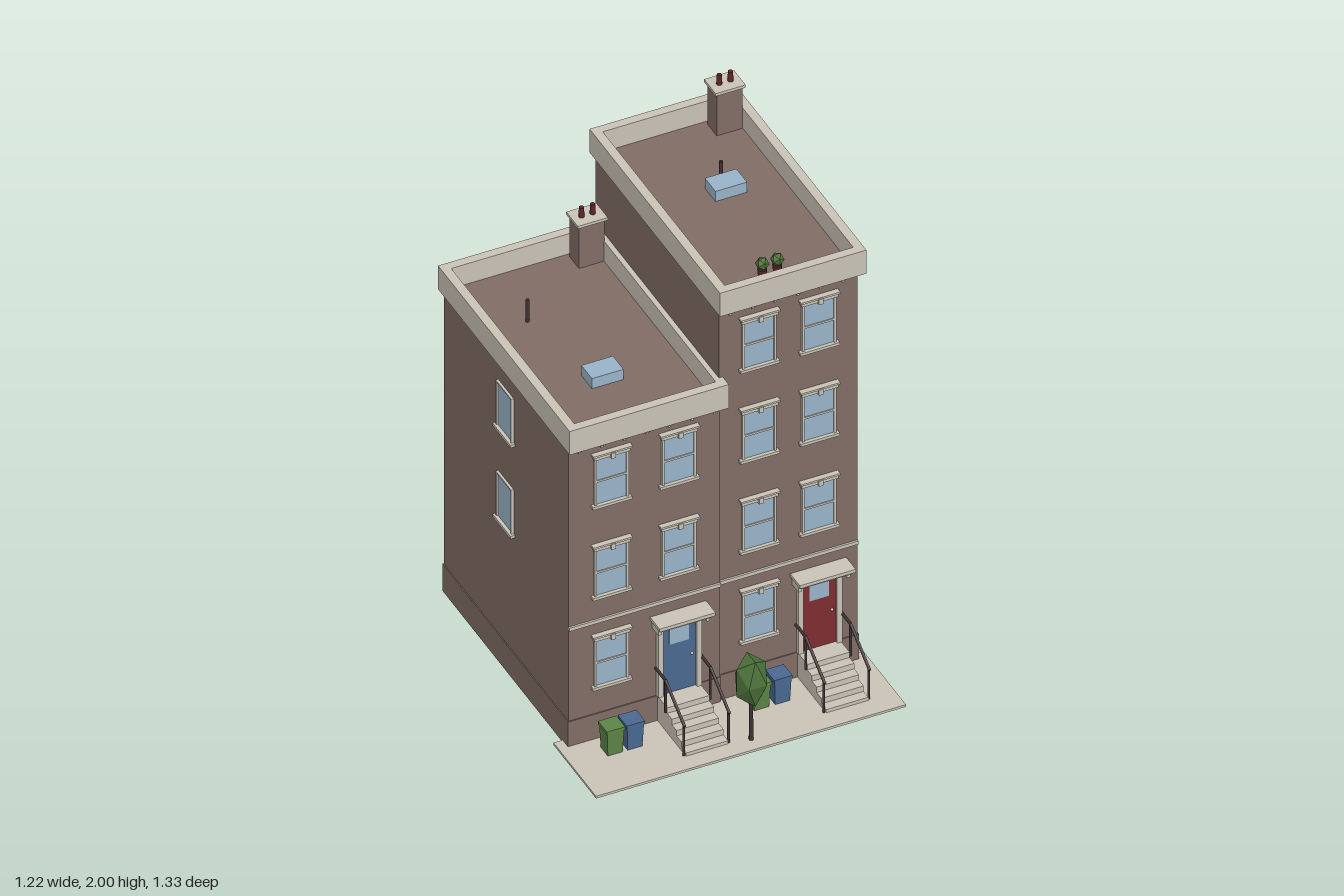
import * as THREE from 'three';

const mat = (name, color, flat) => {
  const m = new THREE.MeshStandardMaterial({ color });
  m.name = name;
  if (flat) m.flatShading = true;
  return m;
};

export function createModel() {
  const brick = mat('brick', 0x806c64);
  const stone = mat('stone', 0xc8c2b6);
  const glass = mat('glass', 0x98b2c8);
  const blue = mat('blue paint', 0x4a6890);
  const red = mat('red paint', 0x7c2c30);
  const binGreen = mat('bin green', 0x5c8446);
  const leaf = mat('leaf', 0x4a7038, true);
  const iron = mat('iron', 0x3e3232);
  const clay = mat('clay pot', 0x5c2428);

  const root = new THREE.Group();
  root.name = 'townhouses';

  const group = (parent, name, x = 0, y = 0, z = 0) => {
    const g = new THREE.Group();
    g.name = name;
    g.position.set(x, y, z);
    parent.add(g);
    return g;
  };
  const add = (parent, name, geo, m, x = 0, y = 0, z = 0) => {
    const mesh = new THREE.Mesh(geo, m);
    mesh.name = name;
    mesh.position.set(x, y, z);
    parent.add(mesh);
    return mesh;
  };
  // Box given by its minimum and maximum on each axis
  const box = (parent, name, m, x0, x1, y0, y1, z0, z1) =>
    add(parent, name, new THREE.BoxGeometry(x1 - x0, y1 - y0, z1 - z0), m, (x0 + x1) / 2, (y0 + y1) / 2, (z0 + z1) / 2);
  // Four walls around a rectangle
  const ring = (parent, name, m, x0, x1, y0, y1, z0, z1, t) => {
    box(parent, name, m, x0, x1, y0, y1, z1 - t, z1);
    box(parent, name, m, x0, x1, y0, y1, z0, z0 + t);
    box(parent, name, m, x0, x0 + t, y0, y1, z0 + t, z1 - t);
    box(parent, name, m, x1 - t, x1, y0, y1, z0 + t, z1 - t);
  };
  const rod = (parent, name, a, b, r, m) => {
    const p = new THREE.Vector3(...a), q = new THREE.Vector3(...b), d = q.clone().sub(p);
    const mesh = add(parent, name, new THREE.CylinderGeometry(r, r, d.length(), 8), m);
    mesh.position.copy(p).add(q).multiplyScalar(0.5);
    mesh.quaternion.setFromUnitVectors(new THREE.Vector3(0, 1, 0), d.normalize());
  };

  // Window standing on its sill at y = 0, facing local +z
  const addWindow = (parent, x, y, z, turn, h, fancy) => {
    const g = group(parent, 'window', x, y, z);
    g.rotation.y = turn;
    const w = fancy ? 0.067 : 0.063, f = fancy ? 0.009 : 0.006;
    box(g, 'pane', glass, -w + f, w - f, 0.012, h - f, -0.002, 0.004);
    for (const s of [-1, 1]) box(g, 'jamb', stone, s * (w - f / 2) - f / 2, s * (w - f / 2) + f / 2, 0.01, h, -0.002, 0.01);
    box(g, 'head', stone, -w + f, w - f, h - f, h, -0.002, 0.01);
    box(g, 'sill', stone, -w - 0.01, w + 0.01, 0, 0.012, -0.002, 0.018);
    if (!fancy) return;
    box(g, 'meetingRail', stone, -w + f, w - f, 0.11, 0.118, -0.002, 0.008);
    box(g, 'lintel', stone, -w - 0.004, w + 0.004, h - 0.012, h + 0.004, -0.002, 0.016);
    box(g, 'lintelCap', stone, -w - 0.01, w + 0.01, h + 0.004, h + 0.012, -0.002, 0.022);
    box(g, 'keystone', stone, -0.009, 0.009, h - 0.016, h + 0.008, 0, 0.026);
  };

  // Front door with frame, canopy, steps and railings
  const addEntrance = (parent, x, z, paint) => {
    const g = group(parent, 'entrance', x, 0, z);
    box(g, 'door', paint, -0.066, 0.066, 0.12, 0.435, -0.002, 0.006);
    box(g, 'doorPane', glass, -0.038, 0.038, 0.335, 0.405, 0.004, 0.009);
    add(g, 'doorKnob', new THREE.SphereGeometry(0.006, 8, 6), stone, 0.05, 0.27, 0.01);
    for (const s of [-1, 1]) {
      box(g, 'doorJamb', stone, s * 0.076 - 0.01, s * 0.076 + 0.01, 0.12, 0.435, -0.002, 0.018);
      box(g, 'bracket', stone, s * 0.095 - 0.007, s * 0.095 + 0.007, 0.425, 0.46, -0.002, 0.05);
    }
    box(g, 'doorHead', stone, -0.086, 0.086, 0.433, 0.452, -0.002, 0.018);
    box(g, 'canopyBase', stone, -0.1, 0.1, 0.45, 0.463, -0.002, 0.066);
    box(g, 'canopy', stone, -0.11, 0.11, 0.463, 0.477, -0.002, 0.078);
    for (let i = 0; i < 5; i++)
      box(g, 'step', stone, -0.083, 0.083, i * 0.024, (i + 1) * 0.024, -0.002, 0.235 - i * 0.038);
    for (const s of [-1, 1]) {
      const rx = s * 0.088;
      rod(g, 'railPost', [rx, 0.005, 0.227], [rx, 0.15, 0.227], 0.005, iron);
      rod(g, 'railPost', [rx, 0.1, 0.08], [rx, 0.243, 0.08], 0.005, iron);
      rod(g, 'handrail', [rx, 0.143, 0.236], [rx, 0.243, 0.08], 0.006, iron);
      rod(g, 'handrail', [rx, 0.243, 0.082], [rx, 0.243, 0], 0.006, iron);
    }
  };

  // Wheeled bin, narrower at its foot
  const addBin = (parent, x, z, m) => {
    const g = group(parent, 'bin', x, 0.01, z);
    const geo = new THREE.BoxGeometry(0.066, 0.1, 0.066);
    const p = geo.attributes.position;
    for (let i = 0; i < p.count; i++)
      if (p.getY(i) < 0) p.setXYZ(i, p.getX(i) * 0.88, p.getY(i), p.getZ(i) * 0.88);
    geo.computeVertexNormals();
    add(g, 'binBody', geo, m, 0, 0.05, 0);
    box(g, 'binLid', m, -0.036, 0.036, 0.1, 0.114, -0.036, 0.036);
  };

  const addChimney = (parent, x, base, top) => {
    const g = group(parent, 'chimney', x, 0, -0.578);
    box(g, 'stack', brick, -0.05, 0.05, base, top - 0.012, -0.038, 0.038);
    box(g, 'stackCap', stone, -0.059, 0.059, top - 0.012, top, -0.047, 0.047);
    for (const s of [-1, 1])
      add(g, 'chimneyPot', new THREE.CylinderGeometry(0.009, 0.011, 0.042, 10), clay, s * 0.022, top + 0.021, 0);
  };

  const houses = [
    { name: 'leftHouse', x0: -0.57, x1: 0.025, front: 0.36, top: 1.34, cols: [-0.405, -0.14], rows: 3, paint: blue, side: -1,
      teeth: [-0.533, 7], chimney: -0.043, skylight: [-0.293, 0.063], vent: [-0.39, -0.345], bins: [-0.442, -0.364] },
    { name: 'rightHouse', x0: 0.025, x1: 0.57, front: 0.35, top: 1.75, cols: [0.18, 0.415], rows: 4, paint: red, side: 1,
      teeth: [0.065, 6], chimney: 0.498, skylight: [0.34, -0.243], vent: [0.343, -0.29], bins: [0.138, 0.22] },
  ];
  const rowY = [0.235, 0.637, 1.043, 1.447];
  const back = -0.65;

  for (const h of houses) {
    const g = group(root, h.name);
    const { x0, x1, front, top } = h;
    // Walls, hollow plinth and string course
    box(g, 'walls', brick, x0, x1, 0.12, top + 0.01, back, front);
    ring(g, 'plinth', brick, x0 - 0.004, x1 + (h.side > 0 ? 0.004 : 0), 0, 0.12, back - 0.004, front + 0.004, 0.009);
    box(g, 'stringCourse', stone, x0, x1, 0.525, 0.54, front - 0.002, front + 0.008);

    // Roof, parapet and the small brackets below it
    box(g, 'roof', brick, x0 + 0.01, x1 - 0.01, top, top + 0.015, back + 0.005, front + 0.01);
    ring(g, 'parapet', stone, x0 - 0.015, x1 + 0.015, top, top + 0.105, back - 0.017, front + 0.04, 0.035);
    for (let i = 0; i < h.teeth[1]; i++) {
      const tx = h.teeth[0] + i * 0.0885;
      box(g, 'corniceBracket', stone, tx - 0.009, tx + 0.009, top - 0.015, top, front - 0.002, front + 0.024);
      box(g, 'corniceBracket', stone, tx - 0.005, tx + 0.005, top - 0.03, top - 0.015, front - 0.002, front + 0.014);
    }

    // Windows on front, back and outer side
    for (let r = 0; r < h.rows; r++) {
      h.cols.forEach((x, c) => {
        if (r > 0 || c === 0) addWindow(g, x, rowY[r], front, 0, 0.228, true);
        addWindow(g, x, rowY[r], back, Math.PI, 0.228, false);
      });
      if (r > 0) addWindow(g, h.side * 0.57, rowY[r], -0.147, h.side * Math.PI / 2, 0.208, false);
    }
    addEntrance(g, h.cols[1], front, h.paint);

    // Rooftop fittings
    const [sx, sz] = h.skylight;
    box(g, 'skylight', glass, sx - 0.062, sx + 0.062, top + 0.012, top + 0.06, sz - 0.043, sz + 0.043);
    rod(g, 'ventPipe', [h.vent[0], top + 0.01, h.vent[1]], [h.vent[0], top + 0.112, h.vent[1]], 0.007, iron);
    addChimney(g, h.chimney, top, top + 0.212);

    addBin(g, h.bins[0], front + 0.085, binGreen);
    addBin(g, h.bins[1], front + 0.085, blue);
  }

  // Potted shrubs on the taller roof
  for (const x of [0.233, 0.292]) {
    const g = group(root, 'pottedShrub', x, 1.765, 0.272);
    add(g, 'pot', new THREE.CylinderGeometry(0.018, 0.014, 0.045, 10), clay, 0, 0.022, 0);
    add(g, 'shrub', new THREE.IcosahedronGeometry(0.026, 0), leaf, 0, 0.066, 0);
  }

  // Pavement and street tree
  box(root, 'pavement', stone, -0.61, 0.607, 0, 0.01, 0.32, 0.665);
  const tree = group(root, 'tree', 0.027, 0, 0.607);
  add(tree, 'trunk', new THREE.CylinderGeometry(0.007, 0.009, 0.22, 8), iron, 0, 0.11, 0);
  const crown = add(tree, 'crown', new THREE.IcosahedronGeometry(0.067, 0), leaf, 0, 0.278, 0);
  crown.scale.y = 1.72;
  crown.rotation.y = Math.PI / 2;

  return root;
}
